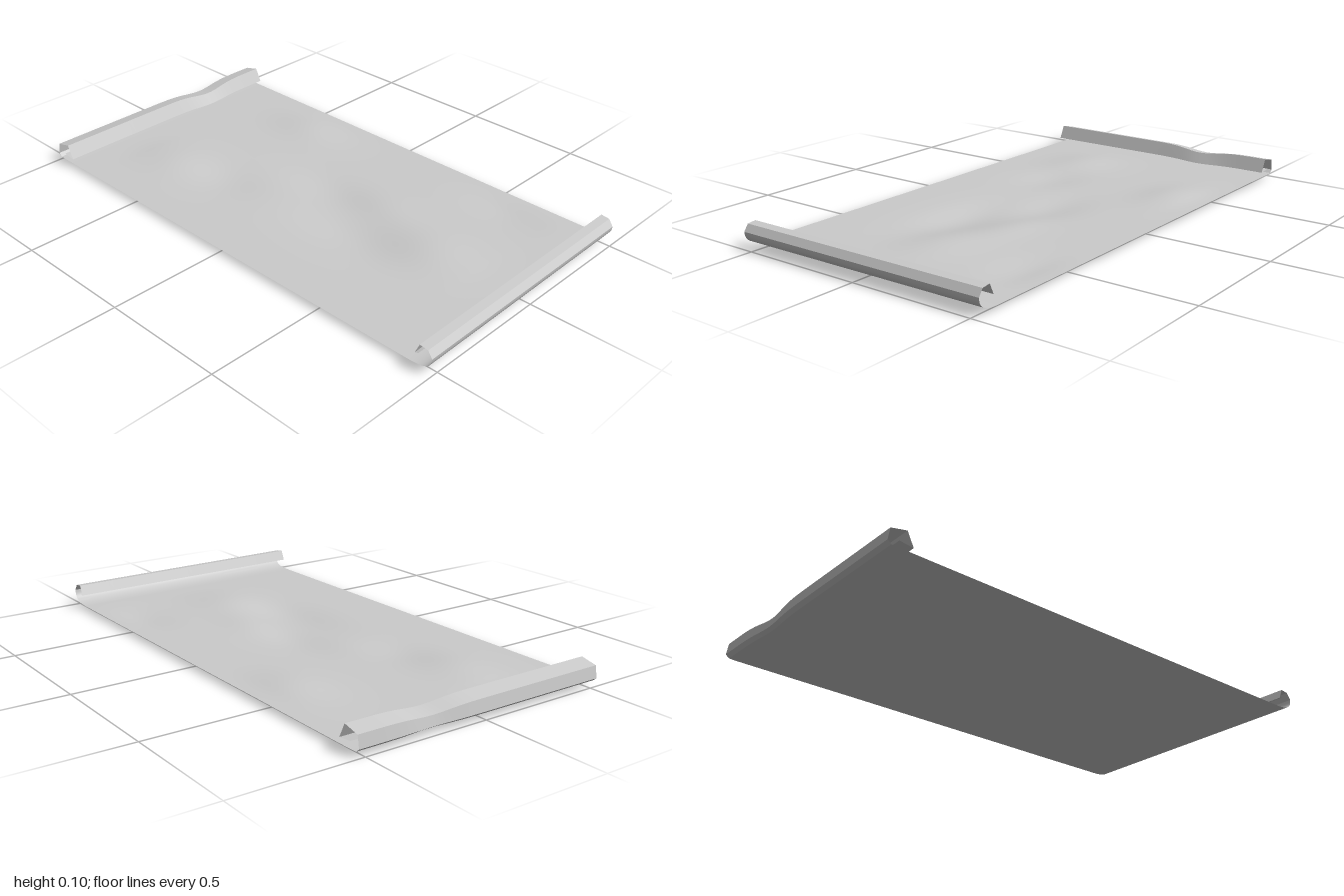
import * as THREE from 'three';
import { toCreasedNormals } from 'three/addons/utils/BufferGeometryUtils.js';

const X0 = -0.53, X1 = 0.525, BASE = 0.023;
const bell = (v, c, w) => Math.exp(-(((v - c) / w) ** 2));

// Gentle dents and swells of the sheet: [x, z, height, x width, z width]
const swells = [
  [-0.12, 0.3, -0.018, 0.12, 0.26], [0.06, 0.02, -0.014, 0.11, 0.2],
  [0.0, 0.56, 0.013, 0.15, 0.18], [0.4, 0.6, -0.008, 0.1, 0.15],
  [-0.22, -0.62, 0.012, 0.13, 0.17], [-0.18, -0.35, -0.009, 0.11, 0.15],
  [0.36, -0.42, 0.013, 0.11, 0.17], [0.1, 0.25, 0.008, 0.09, 0.18],
];

function sheetHeight(x, z) {
  const fade = Math.min(1, Math.max(0, (0.9 - Math.abs(z)) / 0.15));
  const edge = Math.min(1, (x - X0) / 0.1, (X1 - x) / 0.1);
  let y = 0;
  for (const [cx, cz, h, wx, wz] of swells) y += h * bell(x, cx, wx) * bell(z, cz, wz);
  return BASE + y * fade * (0.3 + 0.7 * edge);
}

// Sweep a [z, y] profile across the width; bend(x, z, y) returns the final [z, y]
function sweep(name, profile, bend, columns = 48) {
  const position = [], index = [], n = profile.length;
  for (let i = 0; i <= columns; i++) {
    const x = X0 + ((X1 - X0) * i) / columns;
    for (const [z, y] of profile) {
      const [bz, by] = bend(x, z, y);
      position.push(x, by, bz);
    }
  }
  for (let i = 0; i < columns; i++) {
    for (let j = 0; j < n - 1; j++) {
      const a = i * n + j, b = a + n;
      index.push(a, a + 1, b, b, a + 1, b + 1);
    }
  }
  const geometry = new THREE.BufferGeometry();
  geometry.setAttribute('position', new THREE.Float32BufferAttribute(position, 3));
  geometry.setIndex(index);
  const material = new THREE.MeshStandardMaterial({ color: 0xcccccc, side: THREE.DoubleSide });
  const mesh = new THREE.Mesh(toCreasedNormals(geometry, 0.5), material);
  mesh.name = name;
  return mesh;
}

export function createModel() {
  const group = new THREE.Group();
  group.name = 'curledSheet';

  // Flat, slightly rumpled middle
  const rows = Array.from({ length: 91 }, (_, i) => [-0.9 + (1.8 * i) / 90, 0]);
  group.add(sweep('sheet', rows, (x, z) => [z, sheetHeight(x, z)]));

  // Front roll: a smooth upward curve, then sharp folds over the top
  const curve = new THREE.CubicBezierCurve(
    new THREE.Vector2(0.9, BASE), new THREE.Vector2(0.965, BASE),
    new THREE.Vector2(0.998, 0.032), new THREE.Vector2(1, 0.074));
  const front = curve.getPoints(12).map((p) => [p.x, p.y]);
  front.push([0.982, 0.1], [0.948, 0.104], [0.93, 0.064], [0.944, 0.068]);
  group.add(sweep('frontRoll', front, (x, z, y) => {
    const skew = 0.012 * ((x - X0) / (X1 - X0)) * Math.min(1, (z - 0.9) / 0.03);
    return [z - skew, y];
  }));

  // Back roll: a boxy fold with a soft dip towards the left
  const back = [
    [-0.957, 0.049], [-0.902, 0.043], [-0.928, 0.097], [-0.992, 0.082],
    [-1, 0.036], [-0.985, 0.024], [-0.95, BASE], [-0.9, BASE],
  ];
  group.add(sweep('backRoll', back, (x, z, y) => {
    const dip = bell(x, 0.22, 0.1), lift = Math.max(0, (y - BASE) / 0.074);
    const shift = z < -0.9 ? 0.01 * dip : 0;
    return [z + shift, y - 0.016 * dip * lift];
  }));

  return group;
}
